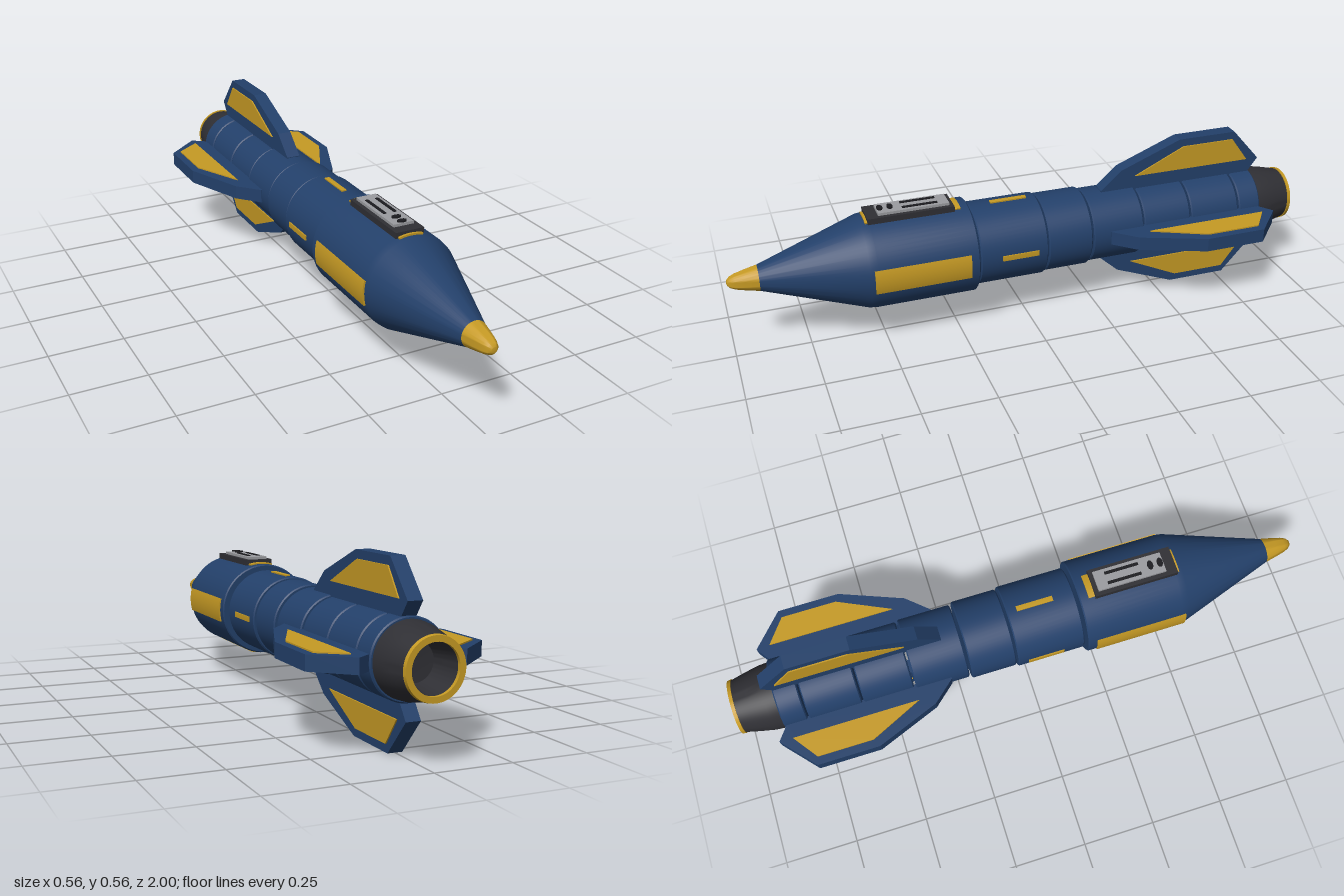
import * as THREE from 'three';
import { toCreasedNormals } from 'three/addons/utils/BufferGeometryUtils.js';

const material = (name, color) => {
  const m = new THREE.MeshStandardMaterial({ color });
  m.name = name;
  return m;
};

export function createModel() {
  const blue = material('navy blue', 0x23406a);
  const gold = material('gold', 0xc69a24);
  const dark = material('dark grey', 0x2f2f34);
  const grey = material('light grey', 0x9b9ca0);
  const black = material('black', 0x1b1b1f);

  const model = new THREE.Group();
  model.name = 'rocket';
  const axis = new THREE.Group(); // everything is placed around the long axis
  axis.name = 'body';
  axis.position.y = 0.282;
  model.add(axis);

  const add = (parent, name, geometry, mat) => {
    const mesh = new THREE.Mesh(geometry, mat);
    mesh.name = name;
    parent.add(mesh);
    return mesh;
  };

  // Turned part along z; points are [radius, z] from back to front
  const turned = (points, crease = 0.25) => {
    const g = new THREE.LatheGeometry(points.map(([r, z]) => new THREE.Vector2(r, z)), 64);
    g.rotateX(Math.PI / 2);
    return toCreasedNormals(g, crease);
  };

  // Closed hull section with small chamfers
  const section = (name, back, front, r) => {
    const c = 0.004;
    add(axis, name, turned([
      [0, back], [r - c, back], [r, back + c], [r, front - c], [r - c, front], [0, front],
    ]), blue);
  };

  // Nose
  add(axis, 'noseSection', turned([
    [0, 0.197], [0.156, 0.197], [0.16, 0.201], [0.16, 0.535], [0.157, 0.56],
    [0.042, 0.9], [0, 0.9],
  ]), blue);
  add(axis, 'noseTip', turned([
    [0, 0.898], [0.043, 0.898], [0.034, 0.94], [0.026, 0.972], [0.019, 0.988], [0.01, 0.997], [0, 1],
  ], 0.7), gold);

  // Hull sections separated by narrow gaps
  section('frontCollar', -0.047, 0.189, 0.141);
  section('midCollar', -0.21, -0.053, 0.135);
  section('tailSection1', -0.402, -0.218, 0.128);
  section('tailSection2', -0.582, -0.409, 0.123);
  section('tailSection3', -0.769, -0.588, 0.123);
  section('tailSection4', -0.856, -0.775, 0.123);

  // Hollow exhaust nozzle with a gold rim
  add(axis, 'nozzle', turned([
    [0, -0.88], [0.06, -0.885], [0.075, -0.99], [0.09, -0.99], [0.102, -0.94],
    [0.112, -0.89], [0.115, -0.85], [0, -0.85],
  ], 0.4), dark);
  add(axis, 'nozzleRim', turned([
    [0.074, -0.988], [0.074, -1], [0.092, -1], [0.094, -0.988], [0.074, -0.988],
  ]), gold);

  // Curved plate hugging the hull, centred on local +x
  const curvedPlate = (inner, outer, halfWidth, back, front) => {
    const a = Math.asin(halfWidth / outer);
    const s = new THREE.Shape();
    s.absarc(0, 0, outer, -a, a, false);
    s.absarc(0, 0, inner, a, -a, true);
    s.closePath();
    const g = new THREE.ExtrudeGeometry(s, { depth: front - back, bevelEnabled: false, curveSegments: 10 });
    return g.translate(0, 0, back);
  };

  // Flat plate from a [radius, z] outline, centred on local y
  const flatPlate = (points, thickness) => {
    const s = new THREE.Shape(points.map(([r, z]) => new THREE.Vector2(r, z)));
    const g = new THREE.ExtrudeGeometry(s, { depth: thickness, bevelEnabled: false });
    return g.translate(0, 0, -thickness / 2).rotateX(Math.PI / 2);
  };

  const finOutline = [
    [0.112, -0.28], [0.13, -0.28], [0.197, -0.355], [0.282, -0.57],
    [0.282, -0.782], [0.168, -0.884], [0.122, -0.85], [0.112, -0.85],
  ];
  const inlayOutline = [[0.17, -0.405], [0.255, -0.585], [0.255, -0.775], [0.17, -0.838]];

  // Fins, panels and strips repeat on the four sides
  for (let i = 0; i < 4; i++) {
    const side = new THREE.Group();
    side.name = `side${i + 1}`;
    side.rotation.z = (i * Math.PI) / 2;
    axis.add(side);
    add(side, 'fin', flatPlate(finOutline, 0.048), blue);
    for (const s of [-1, 1]) {
      add(side, 'finInlay', flatPlate(inlayOutline, 0.006), gold).position.y = s * 0.0255;
    }
    add(side, 'nosePanel', curvedPlate(0.157, 0.1645, 0.042, 0.228, 0.548), gold);
    add(side, 'collarStrip', curvedPlate(0.138, 0.1455, 0.009, -0.012, 0.115), gold);
  }

  // Control panel on top of the nose section
  const panel = new THREE.Group();
  panel.name = 'controlPanel';
  panel.position.y = 0.16;
  axis.add(panel);
  const box = (name, w, h, d, x, y, z, mat) =>
    add(panel, name, new THREE.BoxGeometry(w, h, d), mat).position.set(x, y, z);
  box('panelBase', 0.098, 0.02, 0.29, 0, 0.003, 0.395, dark);
  box('panelPlate', 0.07, 0.01, 0.238, 0, 0.017, 0.383, grey);
  for (const x of [-0.018, 0.018]) box('panelSlot', 0.01, 0.006, 0.118, x, 0.022, 0.36, black);
  for (const z of [0.456, 0.49]) {
    const button = add(panel, 'panelButton', new THREE.CylinderGeometry(0.016, 0.016, 0.008, 20), black);
    button.position.set(0, 0.023, z);
    button.scale.z = 0.6;
  }
  return model;
}
